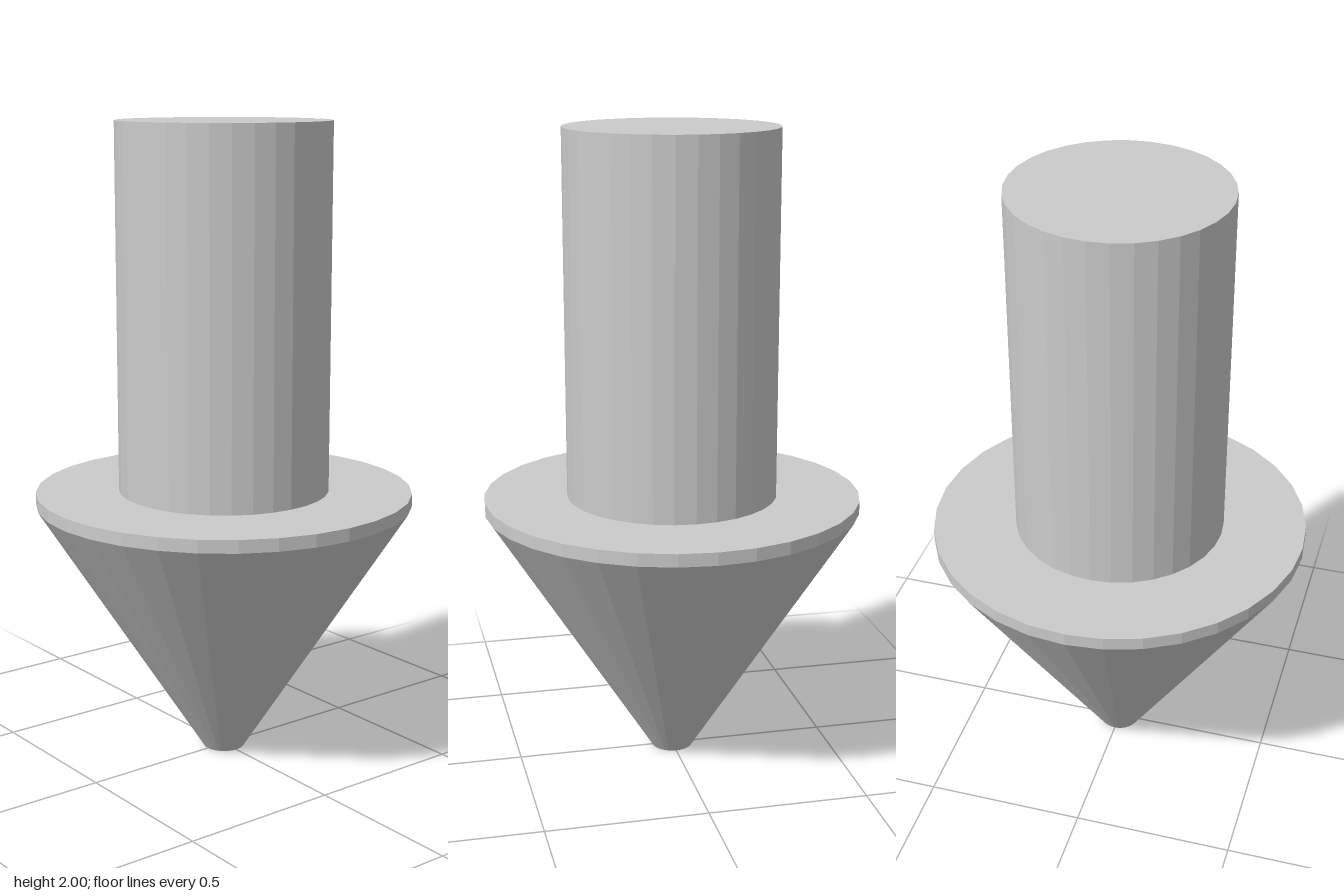
import * as THREE from 'three';

const SIDES = 32;
const material = new THREE.MeshStandardMaterial({ color: 0xcccccc, flatShading: true });

// Faceted solid of revolution from [radius, height] pairs, listed bottom to top
function turned(name, profile) {
  const points = profile.map(([r, y]) => new THREE.Vector2(r, y));
  const mesh = new THREE.Mesh(new THREE.LatheGeometry(points, SIDES), material);
  mesh.name = name;
  return mesh;
}

export function createModel() {
  const group = new THREE.Group();
  group.name = 'conicalPin';
  const shaftRadius = 0.33, rimRadius = 0.59, tipRadius = 0.065;
  const rimBottom = 0.82, rimTop = 0.86, top = 2;

  // Blunt conical head with a flat tip
  group.add(turned('conicalHead', [[0, 0], [tipRadius, 0], [rimRadius, rimBottom]]));

  // Thin straight rim and the shoulder running in to the shaft
  group.add(turned('rim', [[rimRadius, rimBottom], [rimRadius, rimTop], [shaftRadius, rimTop]]));

  // Round shaft with a flat top
  group.add(turned('shaft', [[shaftRadius, rimTop], [shaftRadius, top], [0, top]]));

  return group;
}
